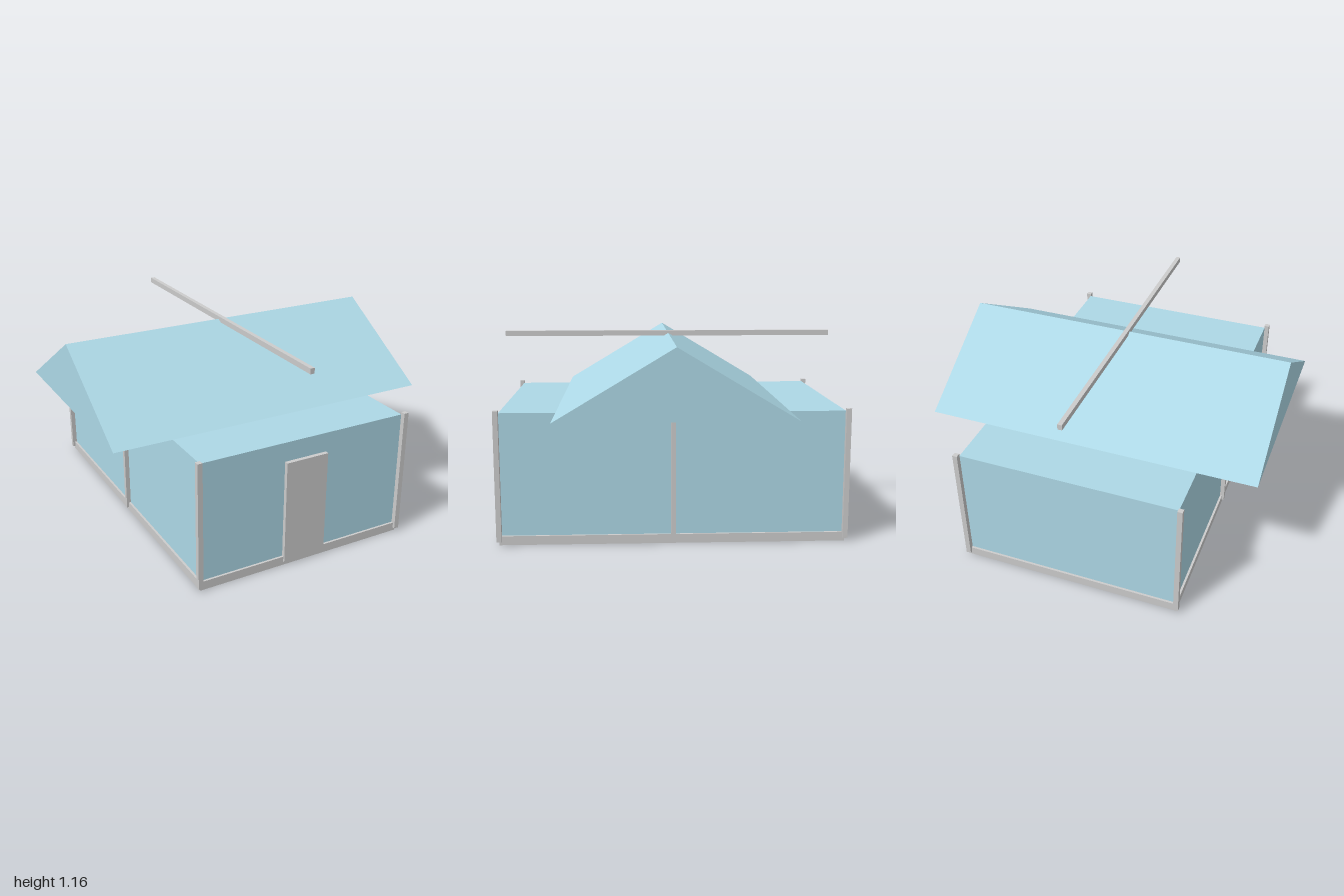
import * as THREE from 'three';

export function createModel() {
  const model = new THREE.Group();
  const grey = new THREE.MeshStandardMaterial({ color: 0xcccccc });
  const blue = new THREE.MeshStandardMaterial({ color: 0xadd8e6 });

  // Box given by its size, centre in x and z, and bottom height
  function box(name, [w, h, d], [x, bottom, z], material = grey) {
    const mesh = new THREE.Mesh(new THREE.BoxGeometry(w, h, d), material);
    mesh.name = name;
    mesh.position.set(x, bottom + h / 2, z);
    model.add(mesh);
  }

  // Floor slab and walls
  box('base', [1.31, 0.052, 1.968], [0, 0, 0]);
  box('walls', [1.284, 0.705, 1.942], [0, 0.05, 0], blue);

  // Posts at the corners and halfway along each side
  for (const x of [-1, 1]) {
    for (const z of [-1, 1]) {
      box('cornerPost', [0.029, 0.75, 0.029], [x * 0.655, 0.02, z * 0.985]);
    }
    box('middlePost', [0.026, 0.735, 0.026], [x * 0.655, 0.02, 0]);
  }

  // Door on the front wall
  box('door', [0.262, 0.622, 0.026], [0, 0.02, 0.982]);

  // Gable roof: a closed triangular prism with its ridge along x
  const gable = new THREE.Shape();
  gable.moveTo(-0.655, 0.755);
  gable.lineTo(0.655, 0.755);
  gable.lineTo(0, 1.147);
  gable.closePath();
  const roofGeometry = new THREE.ExtrudeGeometry(gable, { depth: 1.964, bevelEnabled: false });
  roofGeometry.translate(0, 0, -0.982).rotateY(Math.PI / 2);
  const roof = new THREE.Mesh(roofGeometry, blue);
  roof.name = 'roof';
  model.add(roof);

  // Beam crossing the ridge from front to back
  box('roofBeam', [0.026, 0.032, 2], [0, 1.131, 0]);

  return model;
}
